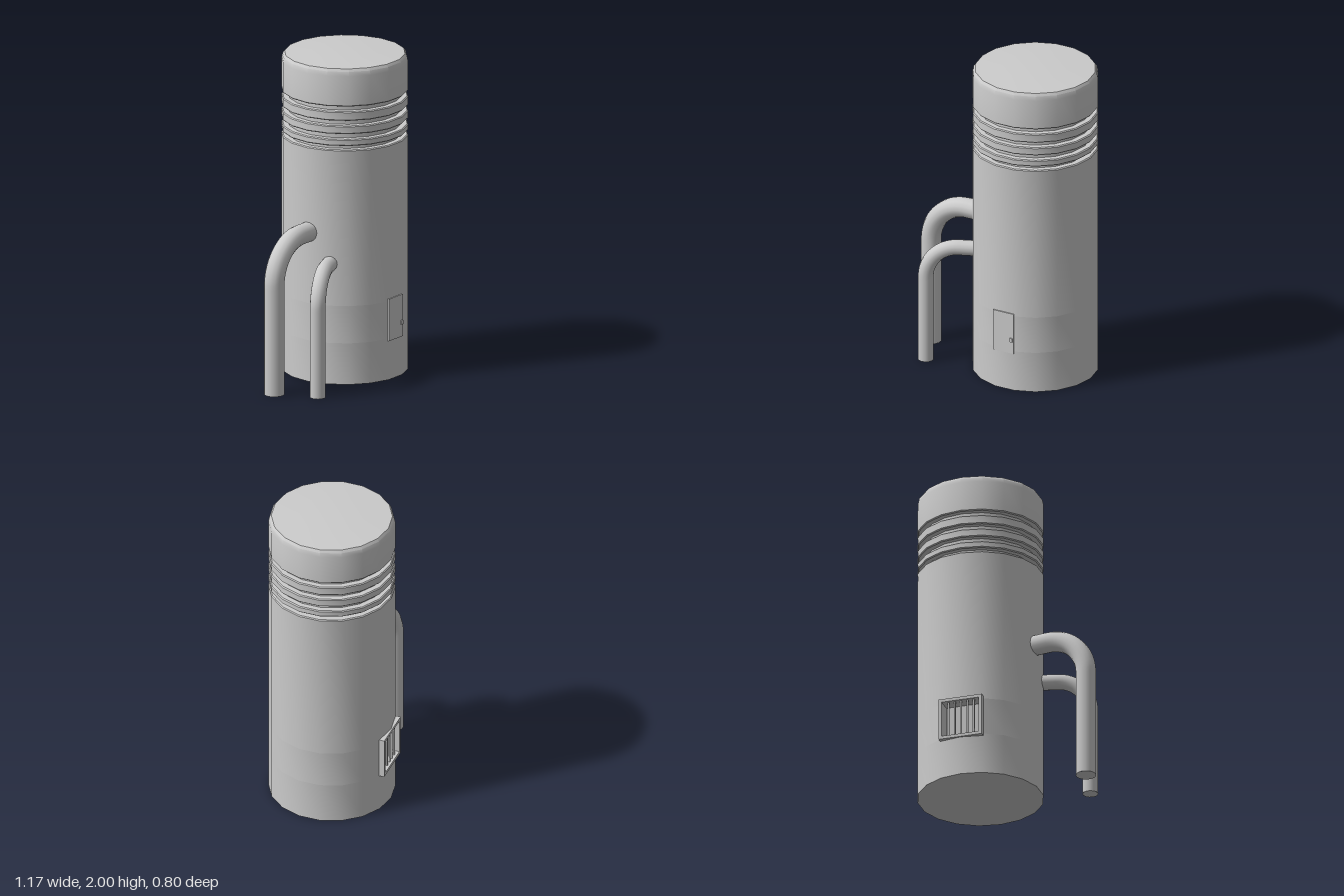
import * as THREE from 'three';
import { toCreasedNormals } from 'three/addons/utils/BufferGeometryUtils.js';

const R = 0.385, SIDES = 18, STEP = (Math.PI * 2) / SIDES;
const CX = 0.2, CZ = 0.01;
const material = new THREE.MeshStandardMaterial({ color: 0xcccccc });

function add(parent, name, geometry, x = 0, y = 0, z = 0) {
  const mesh = new THREE.Mesh(geometry, material);
  mesh.name = name;
  mesh.position.set(x, y, z);
  parent.add(mesh);
  return mesh;
}

// 18-sided turned section, smooth around and sharp at the rims
function turned(points, sides = SIDES, start = STEP / 2) {
  const profile = points.map(([r, y]) => new THREE.Vector2(r, y));
  return toCreasedNormals(new THREE.LatheGeometry(profile, sides, start, sides * STEP), 0.5);
}

// Pipe rising from the ground, bending over and running into the tower
function pipe(parent, name, [x, z], height, radius, bend, run, dir) {
  const at = (d, y) => new THREE.Vector3(x + dir.x * d, y, z + dir.y * d);
  const k = bend * 0.4477, base = height - bend;
  const path = new THREE.CurvePath();
  path.add(new THREE.LineCurve3(at(0, 0), at(0, base)));
  path.add(new THREE.CubicBezierCurve3(at(0, base), at(0, height - k), at(k, height), at(bend, height)));
  path.add(new THREE.LineCurve3(at(bend, height), at(run, height)));
  const group = new THREE.Group();
  group.name = name;
  add(group, name + 'Tube', new THREE.TubeGeometry(path, 48, radius, 14));
  add(group, name + 'Foot', new THREE.CircleGeometry(radius, 14), x, 0, z).rotation.x = Math.PI / 2;
  parent.add(group);
}

export function createModel() {
  const model = new THREE.Group();
  model.name = 'tower';
  const body = new THREE.Group();
  body.name = 'body';
  body.position.set(CX, 0, CZ);
  model.add(body);

  // Wall, with two facets left open behind the vent
  add(body, 'lowerWall', turned([[0, 0], [R, 0], [R, 0.26]]));
  add(body, 'middleWall', turned([[R, 0.26], [R, 0.495]], SIDES - 2, STEP * 10.5));

  // Upper wall, ribbed neck and domed cap in one profile
  const g = 0.345, c = 0.006;
  const upper = [[R, 0.495], [R, 1.474], [R - c, 1.48], [g, 1.48]];
  for (const [lo, hi] of [[1.505, 1.547], [1.58, 1.632], [1.664, 1.722]]) {
    upper.push([g, lo], [R - c, lo], [R, lo + c], [R, hi - c], [R - c, hi], [g, hi]);
  }
  upper.push([g, 1.754], [R - c, 1.754], [R, 1.76], [R, 1.945], [0.379, 1.972], [0.367, 1.988], [0.2, 1.997], [0, 2]);
  add(body, 'upperWallAndCap', turned(upper));

  // Door and its handle
  add(model, 'door', new THREE.BoxGeometry(0.142, 0.265, 0.04), 0.197, 0.378, 0.376);
  add(model, 'doorHandle', new THREE.BoxGeometry(0.018, 0.025, 0.012), 0.254, 0.336, 0.398);

  // Barred vent, local +z pointing outwards
  const vent = new THREE.Group();
  vent.name = 'vent';
  vent.position.y = 0.378;
  vent.rotation.y = STEP * 9.5;
  body.add(vent);
  const rect = (Type, w, h) => new Type([[-w, -h], [w, -h], [w, h], [-w, h]].map(([x, y]) => new THREE.Vector2(x, y)));
  const frame = rect(THREE.Shape, 0.1375, 0.1325);
  frame.holes.push(rect(THREE.Path, 0.118, 0.113));
  add(vent, 'ventFrame', new THREE.ExtrudeGeometry(frame, { depth: 0.098, bevelEnabled: false }), 0, 0, 0.295);
  add(vent, 'ventBack', new THREE.BoxGeometry(0.25, 0.24, 0.01), 0, 0, 0.295);
  for (let i = -2; i <= 2; i++) {
    add(vent, 'ventBar', new THREE.CylinderGeometry(0.007, 0.007, 0.23, 8), i * 0.04, 0, 0.372);
  }

  // Pipes, both aimed at the tower axis
  pipe(model, 'largePipe', [-0.525, 0.012], 0.943, 0.0625, 0.26, 0.4, new THREE.Vector2(1, 0));
  const aim = new THREE.Vector2(CX + 0.42, CZ - 0.262).normalize();
  pipe(model, 'smallPipe', [-0.42, 0.262], 0.758, 0.048, 0.2, 0.33, aim);
  return model;
}
